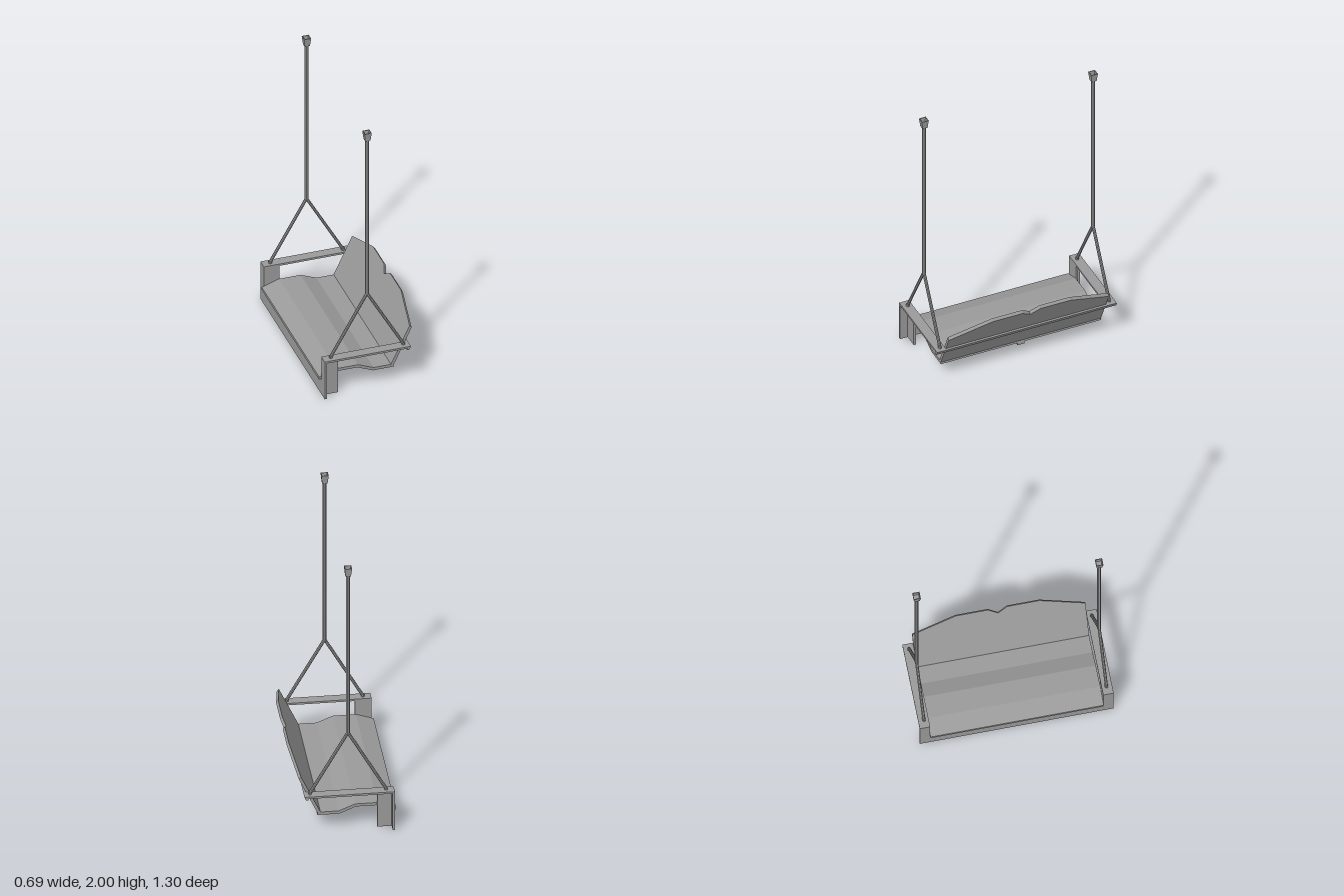
import * as THREE from 'three';

const mat = new THREE.MeshStandardMaterial({ color: 0x9b9b9b, flatShading: true, side: THREE.DoubleSide });

function add(parent, name, geo) {
  const mesh = new THREE.Mesh(geo, mat);
  mesh.name = name;
  parent.add(mesh);
  return mesh;
}

// Box given by its x, y and z ranges
function box([x0, x1], [y0, y1], [z0, z1]) {
  return new THREE.BoxGeometry(x1 - x0, y1 - y0, z1 - z0)
    .translate((x0 + x1) / 2, (y0 + y1) / 2, (z0 + z1) / 2);
}

function extrude(points, depth) {
  const shape = new THREE.Shape(points.map(([x, y]) => new THREE.Vector2(x, y)));
  return new THREE.ExtrudeGeometry(shape, { depth, bevelEnabled: false });
}

// Side profile (x, y) swept across the width
const across = (points, width) => extrude(points, width).translate(0, 0, -width / 2);

// Half outline (z, y) mirrored about the centre, given thickness along +x
function panel(half, thickness) {
  const mirrored = half.filter(([z]) => z > 0).reverse().map(([z, y]) => [-z, y]);
  return extrude([...half, ...mirrored], thickness).rotateY(Math.PI / 2);
}

// Eight-sided rod between two points of the x-y plane
function rod([x0, y0], [x1, y1], radius) {
  const dx = x1 - x0, dy = y1 - y0;
  return new THREE.CylinderGeometry(radius, radius, Math.hypot(dx, dy), 8)
    .rotateY(Math.PI / 8)
    .rotateZ(Math.atan2(-dx, dy))
    .translate((x0 + x1) / 2, (y0 + y1) / 2, 0);
}

export function createModel() {
  const group = new THREE.Group();
  group.name = 'hangingBench';

  // Bent seat board
  add(group, 'seat', across([
    [-0.345, 0.135], [-0.225, 0.175], [-0.075, 0.175], [0.035, 0.13], [0.155, 0.13], [0.173, 0.1215],
    [0.176, 0.109], [0.03, 0.109], [-0.08, 0.155], [-0.22, 0.155], [-0.345, 0.113],
  ], 1.16));

  // Narrow strip following the underside of the seat
  add(group, 'seatSupport', across([
    [-0.32, 0.121], [-0.22, 0.155], [-0.08, 0.155], [0.03, 0.109], [0.175, 0.109],
    [0.175, 0.09], [0.025, 0.09], [-0.085, 0.135], [-0.217, 0.135], [-0.32, 0.1],
  ], 0.05));

  // Leaning backrest with a notched crest, its rim sloping down to the rear
  const lean = Math.atan(0.47);
  const crest = [[0, 0.455], [0.065, 0.495], [0.28, 0.495], [0.58, 0.405], [0.58, 0.13]]
    .map(([z, y]) => [z, (y - 0.13) / Math.cos(lean)]);
  const backGeo = panel(crest, 0.02);
  const p = backGeo.attributes.position;
  for (let i = 0; i < p.count; i++) {
    if (p.getX(i) > 0.01 && p.getY(i) > 0.1) p.setY(i, p.getY(i) - 0.01);
  }
  backGeo.computeVertexNormals();
  const back = add(group, 'backrest', backGeo.rotateZ(-lean));
  back.position.set(0.155, 0.13, 0);

  // Rail behind the backrest
  add(group, 'backRail', across([[0.247, 0.29], [0.27, 0.29], [0.259, 0.265], [0.243, 0.265]], 1.3));

  // Front apron rising into the two front posts
  const apron = add(group, 'frontApron',
    panel([[0, 0.116], [0.58, 0.116], [0.58, 0.276], [0.65, 0.276], [0.65, 0]], 0.015));
  apron.position.x = -0.33;

  for (const s of [-1, 1]) {
    const side = new THREE.Group();
    side.name = s > 0 ? 'leftEnd' : 'rightEnd';
    group.add(side);

    // Post side plate and armrest
    const inner = [0.58, 0.595].map((z) => z * s).sort((a, b) => a - b);
    const arm = [0.58, 0.65].map((z) => z * s).sort((a, b) => a - b);
    add(side, 'postPlate', box([-0.315, -0.22], [0, 0.276], inner));
    add(side, 'armrest', box([-0.33, 0.25], [0.276, 0.29], arm));

    // Forked hanger with its feet
    const hanger = new THREE.Group();
    hanger.name = 'hanger';
    hanger.position.set(-0.023, 0, 0.612 * s);
    side.add(hanger);
    add(hanger, 'hangerRod', rod([0, 0.733], [0, 1.95], 0.0138));
    for (const m of [-1, 1]) {
      add(hanger, 'hangerFork', rod([0.003 * m, 0.737], [0.25 * m, 0.303], 0.0108));
      add(hanger, 'forkFoot', rod([0.252 * m, 0.288], [0.252 * m, 0.307], 0.0115));
    }

    // Tapered square cap, hollow at the top
    const cap = [[0, 1.94], [0.036, 1.94], [0.049, 2], [0.039, 2], [0.034, 1.97], [0, 1.97]]
      .map(([w, y]) => new THREE.Vector2(w * Math.SQRT1_2, y));
    add(hanger, 'ceilingCap', new THREE.LatheGeometry(cap, 4).rotateY(Math.PI / 4));
  }
  return group;
}
